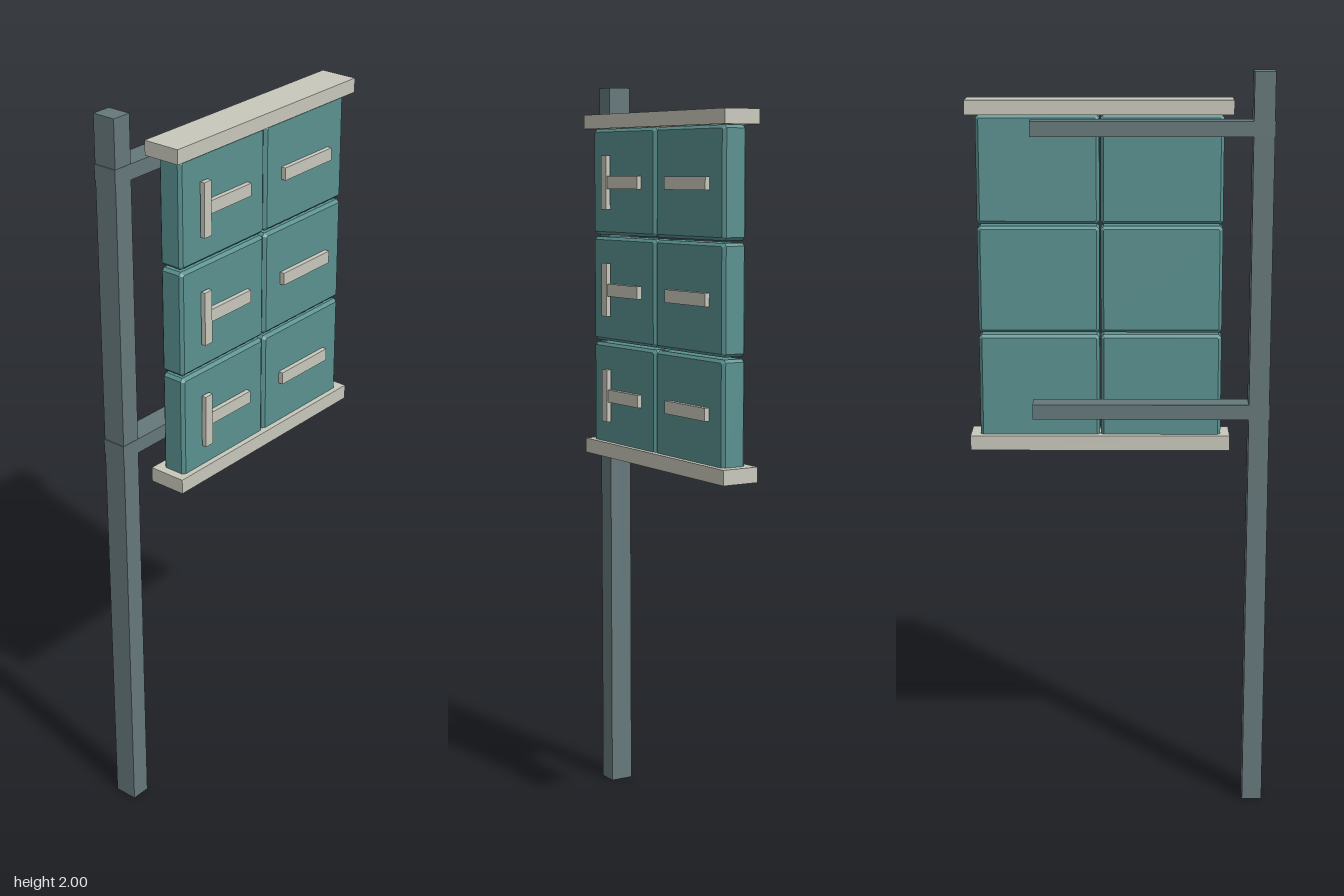
import * as THREE from 'three';

const paint = (name, color) => {
  const m = new THREE.MeshStandardMaterial({ color });
  m.name = name;
  return m;
};

export function createModel() {
  const group = new THREE.Group();
  const steel = paint('slate steel', 0x66787b);
  const cream = paint('pale stone', 0xc8c8bc);
  const teal = paint('teal', 0x5a9190);

  // Box given by its lower and upper limits on each axis
  const box = (name, mat, [x0, x1], [y0, y1], [z0, z1]) => {
    const mesh = new THREE.Mesh(new THREE.BoxGeometry(x1 - x0, y1 - y0, z1 - z0), mat);
    mesh.position.set((x0 + x1) / 2, (y0 + y1) / 2, (z0 + z1) / 2);
    mesh.name = name;
    group.add(mesh);
  };

  // Post with two arms reaching behind the panels
  box('post', steel, [-0.398, -0.344], [0, 2], [-0.087, -0.022]);
  for (const y of [1.113, 1.855]) {
    box('supportArm', steel, [-0.4, 0.228], [y - 0.02, y + 0.02], [-0.088, -0.021]);
  }

  // Rails above and below the panels
  box('topRail', cream, [-0.298, 0.399], [1.884, 1.922], [-0.018, 0.086]);
  box('bottomRail', cream, [-0.298, 0.399], [0.99, 1.03], [-0.018, 0.086]);

  // Chamfered panel: octagonal outline with a single bevel
  const bevel = 0.008, w = 0.161 - bevel, h = 0.142 - bevel, c = 0.003;
  const outline = new THREE.Shape([
    [-w + c, -h], [w - c, -h], [w, -h + c], [w, h - c],
    [w - c, h], [-w + c, h], [-w, h - c], [-w, -h + c],
  ].map(([x, y]) => new THREE.Vector2(x, y)));
  const panelGeometry = new THREE.ExtrudeGeometry(outline, {
    depth: 0.07 - 2 * bevel, bevelEnabled: true, bevelSegments: 1,
    bevelSize: bevel, bevelThickness: bevel, curveSegments: 1,
  });

  // Two columns of three panels with T-shaped and straight bars
  for (const y of [1.161, 1.451, 1.741]) {
    for (const x of [-0.113, 0.212]) {
      const panel = new THREE.Mesh(panelGeometry, teal);
      panel.name = 'panel';
      panel.position.set(x, y, bevel + 0.001);
      group.add(panel);
    }
    box('leftBar', cream, [-0.19, -0.02], [y - 0.018, y + 0.016], [0.068, 0.084]);
    box('leftBarEnd', cream, [-0.204, -0.177], [y - 0.073, y + 0.071], [0.074, 0.087]);
    box('rightBar', cream, [0.116, 0.309], [y - 0.018, y + 0.016], [0.068, 0.084]);
  }
  return group;
}
